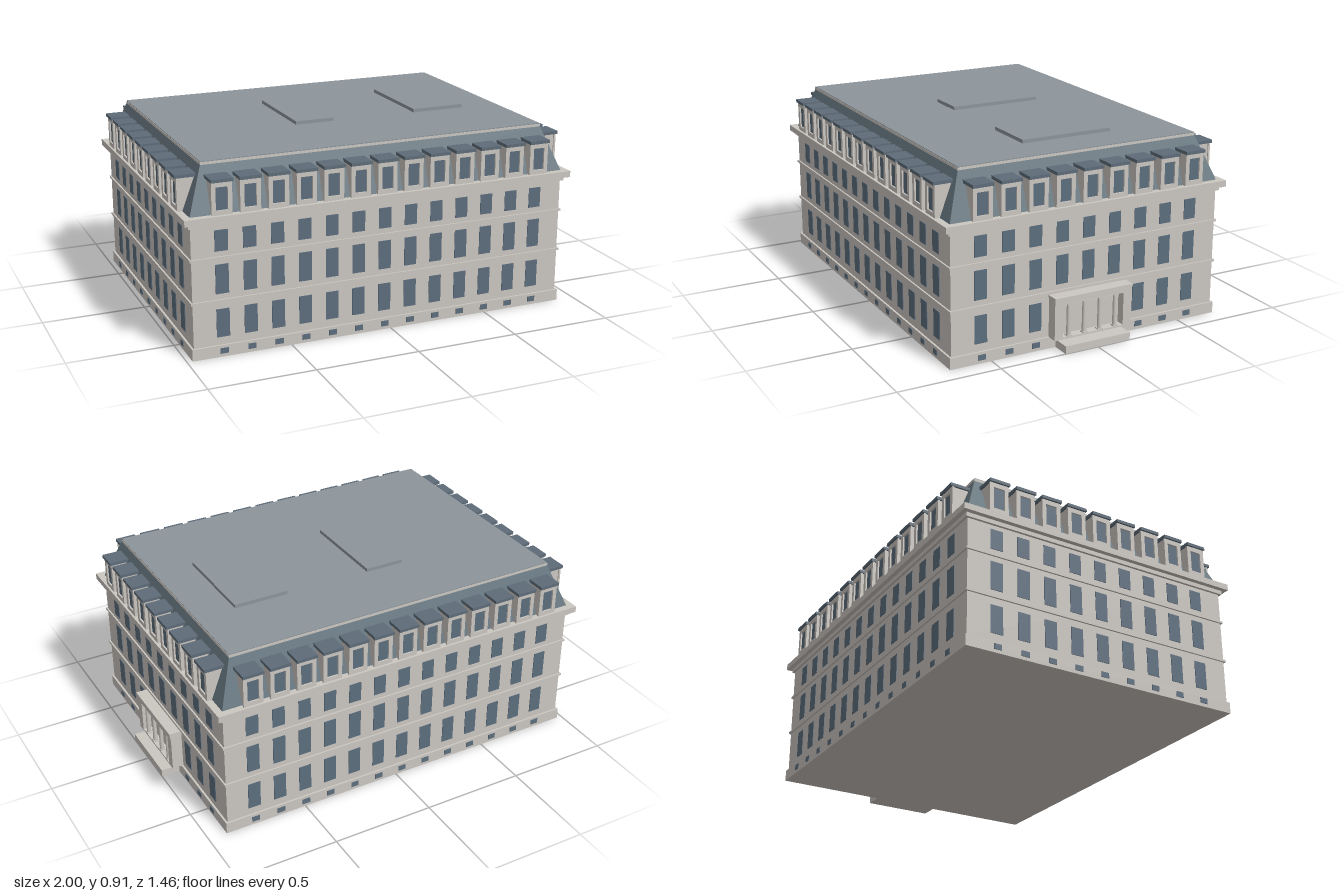
import * as THREE from 'three';

const material = (name, color) => {
  const m = new THREE.MeshStandardMaterial({ color });
  m.name = name;
  return m;
};

export function createModel() {
  const stone = material('stone', 0xcbc6c0);
  const glass = material('window glass', 0x5d6e7e);
  const slate = material('slate', 0x66767f);
  const capSlate = material('dormer cap slate', 0x5e6c79);
  const roofGrey = material('flat roof grey', 0x8c959c);

  const root = new THREE.Group();
  root.name = 'building';
  const house = new THREE.Group();
  house.name = 'house';
  house.position.x = -0.0325;
  root.add(house);

  const HX = 0.932, HZ = 0.695; // half sizes of the walls

  function add(parent, name, geometry, mat, x = 0, y = 0, z = 0) {
    const mesh = new THREE.Mesh(geometry, mat);
    mesh.name = name;
    mesh.position.set(x, y, z);
    parent.add(mesh);
    return mesh;
  }
  // Box given by its centre in x and z and its bottom and top heights
  function block(parent, name, mat, w, d, y0, y1, x = 0, z = 0) {
    return add(parent, name, new THREE.BoxGeometry(w, y1 - y0, d), mat, x, (y0 + y1) / 2, z);
  }
  // Layer running round the whole house, standing out from the walls
  const layer = (name, mat, out, y0, y1) =>
    block(house, name, mat, 2 * (HX + out), 2 * (HZ + out), y0, y1);

  // Masonry layers
  layer('plinth', stone, 0.01, 0, 0.055);
  layer('walls', stone, 0, 0.055, 0.64);
  layer('lowerStringCourse', stone, 0.008, 0.262, 0.273);
  layer('upperStringCourse', stone, 0.008, 0.465, 0.475);
  layer('frieze', stone, 0.012, 0.62, 0.64);
  layer('cornice', stone, 0.0345, 0.64, 0.67);

  // Mansard roof: a box whose top edges lean inwards
  const INSET = 0.078, SLOPE = 0.207;
  const mansard = new THREE.BoxGeometry(2 * HX, SLOPE, 2 * HZ);
  const p = mansard.attributes.position;
  for (let i = 0; i < p.count; i++) {
    if (p.getY(i) > 0) {
      p.setX(i, p.getX(i) - Math.sign(p.getX(i)) * INSET);
      p.setZ(i, p.getZ(i) - Math.sign(p.getZ(i)) * INSET);
    }
  }
  mansard.computeVertexNormals();
  add(house, 'mansardRoof', mansard, slate, 0, 0.67 + SLOPE / 2, 0);
  layer('roofRim', stone, -INSET, 0.877, 0.889);
  layer('flatRoof', roofGrey, -INSET - 0.002, 0.889, 0.893);

  // Low boxes on the flat roof
  block(root, 'roofHatch', roofGrey, 0.195, 0.466, 0.89, 0.91, -0.1725, -0.042);
  block(root, 'roofHatch', roofGrey, 0.27, 0.466, 0.89, 0.91, 0.49, -0.042);

  // Dormer, with z = 0 at the wall plane and +z outwards
  const frameShape = new THREE.Shape();
  frameShape.moveTo(-0.048, 0.673).lineTo(0.048, 0.673).lineTo(0.048, 0.823).lineTo(-0.048, 0.823).closePath();
  const opening = new THREE.Path();
  opening.moveTo(-0.028, 0.694).lineTo(-0.028, 0.8).lineTo(0.028, 0.8).lineTo(0.028, 0.694).closePath();
  frameShape.holes.push(opening);
  const frameGeometry = new THREE.ExtrudeGeometry(frameShape, { depth: 0.01, bevelEnabled: false });

  function addDormer(side, x, wall) {
    const dormer = new THREE.Group();
    dormer.name = 'dormer';
    dormer.position.set(x, 0, wall);
    side.add(dormer);
    block(dormer, 'dormerBody', stone, 0.086, 0.076, 0.67, 0.823, 0, -0.022);
    add(dormer, 'dormerFrame', frameGeometry, stone, 0, 0, 0.016);
    block(dormer, 'dormerGlass', glass, 0.056, 0.006, 0.694, 0.8, 0, 0.015);
    block(dormer, 'dormerCap', capSlate, 0.103, 0.1, 0.823, 0.838, 0, -0.0155);
  }

  // Four sides with their window rows and dormers
  const rows = [[0.093, 0.227], [0.3, 0.438], [0.5, 0.598]];
  const sides = [
    { name: 'frontSide', turn: 0, wall: HZ, count: 13, step: 0.132 },
    { name: 'leftSide', turn: Math.PI / 2, wall: HX, count: 9, step: 0.1373, entrance: true },
    { name: 'backSide', turn: Math.PI, wall: HZ, count: 13, step: 0.132 },
    { name: 'rightSide', turn: -Math.PI / 2, wall: HX, count: 9, step: 0.1373 },
  ];
  for (const { name, turn, wall, count, step, entrance } of sides) {
    const side = new THREE.Group();
    side.name = name;
    side.rotation.y = turn;
    house.add(side);
    for (let i = 0; i < count; i++) {
      const k = i - (count - 1) / 2;
      const x = k * step;
      rows.forEach(([y0, y1], floor) => {
        if (entrance && floor === 0 && Math.abs(k) < 2) return;
        block(side, 'window', glass, 0.062, 0.006, y0, y1, x, wall);
      });
      block(side, 'basementWindow', glass, 0.039, 0.006, 0.016, 0.042, x, wall + 0.01);
      addDormer(side, x, wall);
    }
    if (entrance) addPorch(side, wall);
  }

  // Columned entrance porch with a broad step
  function addPorch(side, wall) {
    const porch = new THREE.Group();
    porch.name = 'porch';
    porch.position.z = wall;
    side.add(porch);
    block(porch, 'porchStep', stone, 0.342, 0.1, 0, 0.037, 0, 0.0505);
    block(porch, 'porchFloor', stone, 0.406, 0.055, 0.052, 0.06, 0, 0.0275);
    block(porch, 'porchLintel', stone, 0.406, 0.058, 0.22, 0.245, 0, 0.029);
    block(porch, 'porchCornice', stone, 0.41, 0.062, 0.245, 0.257, 0, 0.031);
    block(porch, 'doorSurround', stone, 0.32, 0.012, 0.06, 0.197, 0, 0.006);
    block(porch, 'doorTransom', glass, 0.32, 0.008, 0.197, 0.22, 0, 0.004);
    for (const s of [-1, 1]) {
      block(porch, 'porchPier', stone, 0.043, 0.055, 0.06, 0.22, s * 0.1815, 0.0275);
    }
    for (let i = 0; i < 4; i++) {
      const x = (i - 1.5) * 0.082;
      add(porch, 'column', new THREE.CylinderGeometry(0.0095, 0.011, 0.16, 16), stone, x, 0.14, 0.041);
      block(porch, 'columnCapital', stone, 0.026, 0.026, 0.212, 0.22, x, 0.041);
      block(porch, 'columnBase', stone, 0.026, 0.026, 0.06, 0.066, x, 0.041);
    }
  }

  return root;
}
